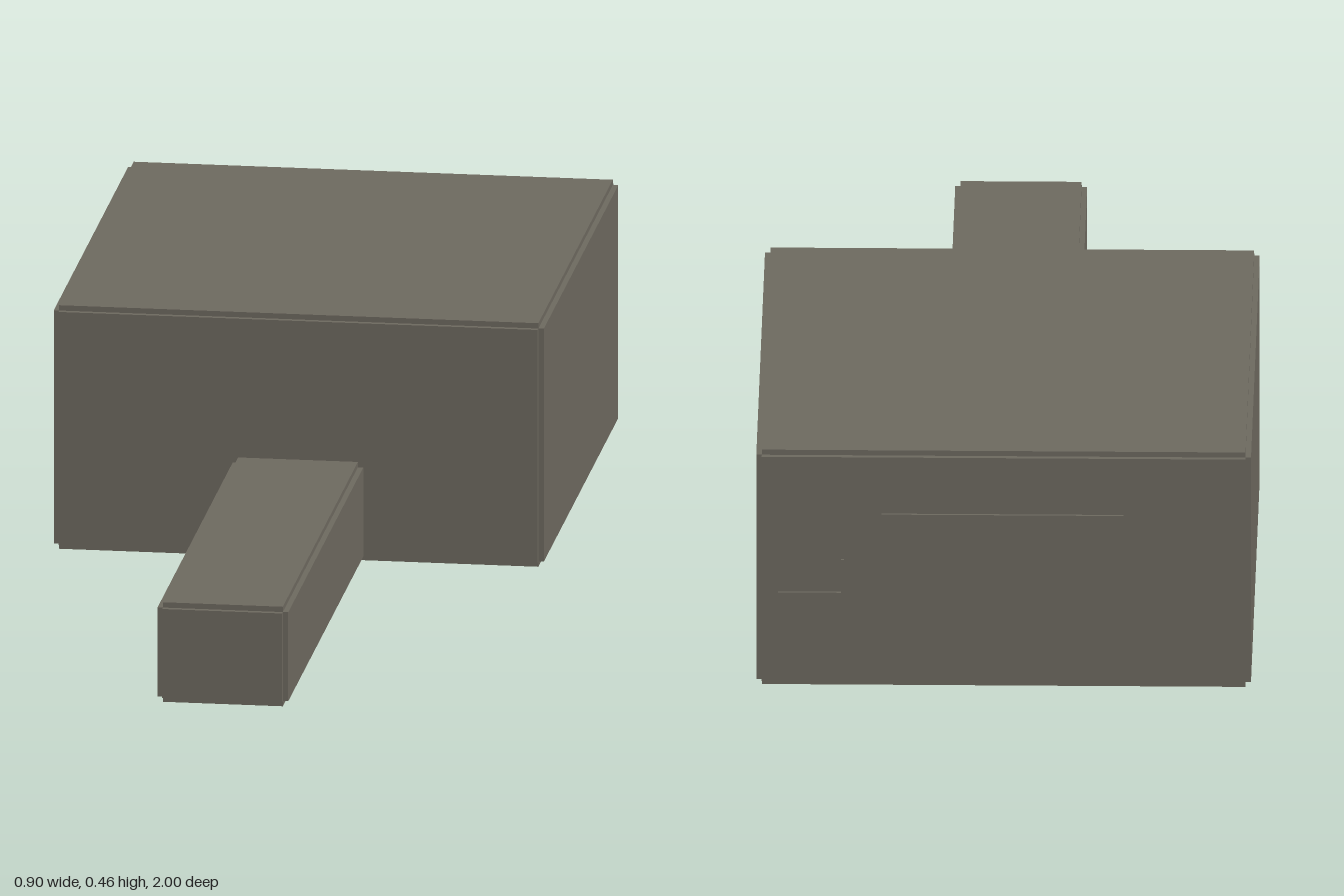
import * as THREE from 'three';

const STEP = 0.01;

export function createModel() {
  const model = new THREE.Group();
  const metal = new THREE.MeshStandardMaterial({ color: 0x6e6a60 });
  metal.name = 'warm grey';

  // Box given by its lower and upper corners
  function box(parent, name, [x0, y0, z0], [x1, y1, z1]) {
    const mesh = new THREE.Mesh(new THREE.BoxGeometry(x1 - x0, y1 - y0, z1 - z0), metal);
    mesh.name = name;
    mesh.position.set((x0 + x1) / 2, (y0 + y1) / 2, (z0 + z1) / 2);
    parent.add(mesh);
  }

  // Block with small notched edges: three boxes, each reaching full size on one axis
  function notchedBlock(name, min, max) {
    const group = new THREE.Group();
    group.name = name;
    ['Sides', 'TopAndBottom', 'Ends'].forEach((label, axis) => {
      const lo = min.map((v, i) => (i === axis ? v : v + STEP));
      const hi = max.map((v, i) => (i === axis ? v : v - STEP));
      box(group, name + label, lo, hi);
    });
    model.add(group);
  }

  notchedBlock('body', [-0.45, 0, -0.995], [0.45, 0.46, 0.003]);
  notchedBlock('handle', [-0.12, 0, -0.02], [0.12, 0.188, 1]);

  // Thin raised details on the back face
  const back = new THREE.Group();
  back.name = 'backDetails';
  box(back, 'backPanel', [-0.218, 0.125, -1], [0.222, 0.34, -0.994]);
  box(back, 'hookBar', [0.29, 0.18, -1], [0.41, 0.186, -0.994]);
  box(back, 'hookPost', [0.29, 0.18, -1], [0.296, 0.25, -0.994]);
  model.add(back);

  return model;
}
